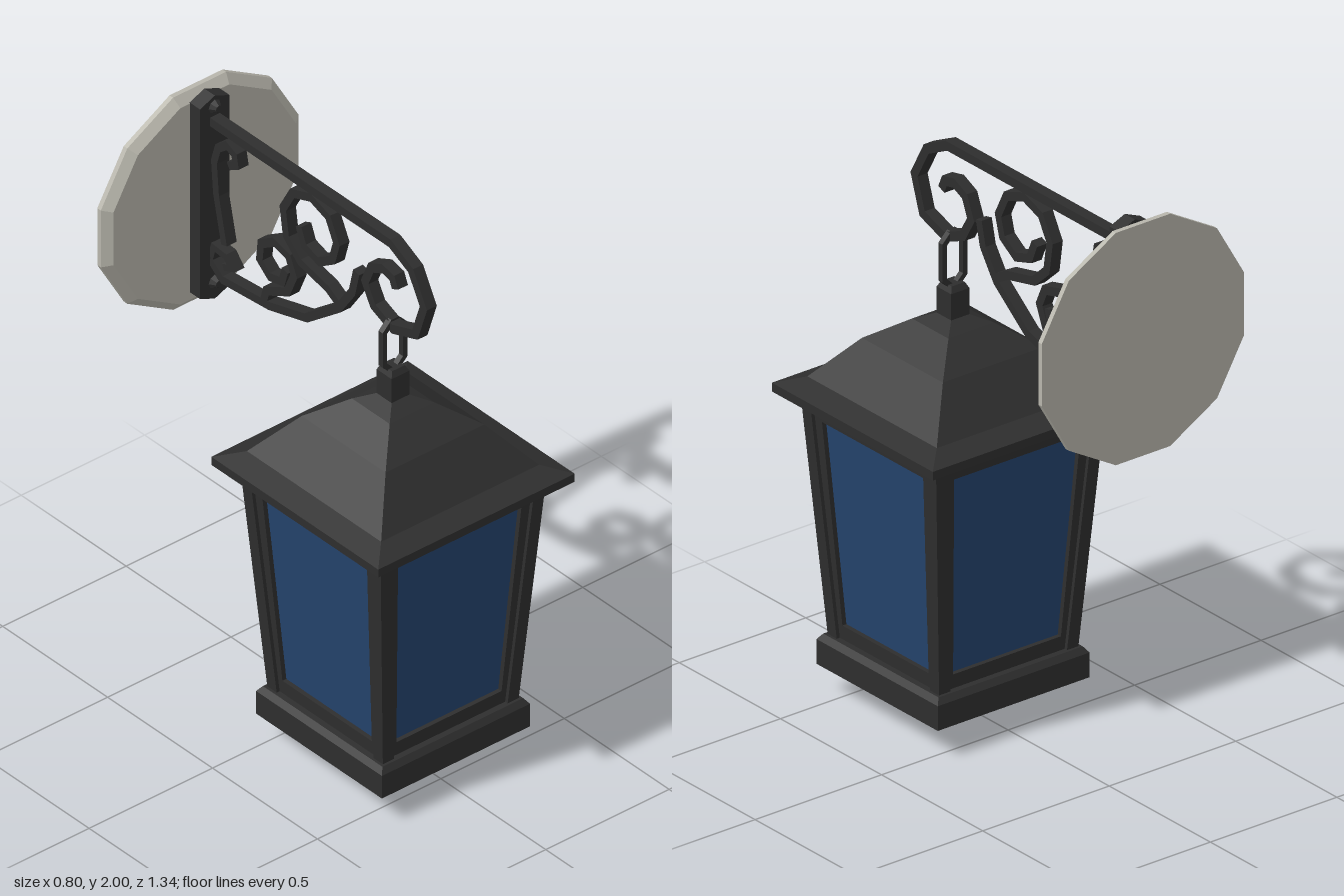
import * as THREE from 'three';

const LZ = 0.272; // lantern axis depth

const flat = (name, color) => {
  const m = new THREE.MeshStandardMaterial({ color, flatShading: true });
  m.name = name;
  return m;
};

// Mitred flat bar following a (z, y) path, lying in the x = 0 plane
function strap(path, width = 0.03, depth = 0.04) {
  const pts = path.map(([z, y]) => new THREE.Vector2(z, y));
  const left = [], right = [];
  const normal = (a, b) => {
    const d = b.clone().sub(a).normalize();
    return new THREE.Vector2(-d.y, d.x);
  };
  pts.forEach((p, i) => {
    const n0 = normal(pts[Math.max(i - 1, 0)], pts[Math.max(i, 1)]);
    const last = pts.length - 1;
    const n1 = normal(pts[Math.min(i, last - 1)], pts[Math.min(i + 1, last)]);
    const n = n0.clone().add(n1).normalize();
    const off = width / 2 / Math.max(0.6, n.dot(n0));
    left.push(p.clone().addScaledVector(n, off));
    right.unshift(p.clone().addScaledVector(n, -off));
  });
  const g = new THREE.ExtrudeGeometry(new THREE.Shape([...left, ...right]), { depth, bevelEnabled: false });
  return g.translate(0, 0, -depth / 2).rotateY(-Math.PI / 2);
}

// Regular-sided solid from [apothem, height] pairs, with flat sides facing the axes
function prism(profile, sides) {
  const k = 1 / Math.cos(Math.PI / sides);
  return new THREE.LatheGeometry(profile.map(([r, y]) => new THREE.Vector2(r * k, y)), sides, Math.PI / sides);
}

const poly = (pts) => pts.map(([x, y]) => new THREE.Vector2(x, y));
const extrude = (shape, depth) => new THREE.ExtrudeGeometry(shape, { depth, bevelEnabled: false });

// Half width of the tapering cage at a height
const half = (y) => 0.275 + 0.0725 * (y - 0.2);

// Move every vertex by a rule
function warp(g, rule) {
  const p = g.attributes.position, v = new THREE.Vector3();
  for (let i = 0; i < p.count; i++) {
    rule(v.fromBufferAttribute(p, i));
    p.setXYZ(i, v.x, v.y, v.z);
  }
  return g;
}

export function createModel() {
  const iron = flat('black iron', 0x2e2e2e);
  const glass = flat('blue glass', 0x24436d);
  const stone = flat('pale stone', 0xb8b6ac);
  const model = new THREE.Group();
  model.name = 'wallLantern';
  const add = (parent, name, geometry, material = iron) => {
    const m = new THREE.Mesh(geometry, material);
    m.name = name;
    parent.add(m);
    return m;
  };

  // Wall plate and mounting bar
  add(model, 'wallPlate', prism([[0, -0.667], [0.4, -0.667], [0.4, -0.65], [0.37, -0.625], [0, -0.625]], 12)
    .rotateX(Math.PI / 2), stone).position.y = 1.602;
  const bar = new THREE.Shape(poly([[-0.06, 1.26], [0, 1.235], [0.06, 1.26], [0.06, 1.975], [0, 2], [-0.06, 1.975]]));
  add(model, 'mountingBar', extrude(bar, 0.05).translate(0, 0, -0.627));
  for (const y of [1.96, 1.3]) {
    add(model, 'boltHead', new THREE.CylinderGeometry(0.012, 0.026, 0.02, 8).rotateX(Math.PI / 2)).position.set(0, y, -0.568);
  }

  // Scrolled bracket
  const bracket = new THREE.Group();
  bracket.name = 'bracket';
  model.add(bracket);
  add(bracket, 'topArm', strap([[-0.58, 1.91], [0.28, 1.91], [0.38, 1.86], [0.44, 1.75], [0.4, 1.63], [0.29, 1.592],
    [0.2, 1.63], [0.16, 1.7], [0.19, 1.77], [0.245, 1.795], [0.29, 1.785], [0.305, 1.75]], 0.032));
  add(bracket, 'lowerBrace', strap([[0.12, 1.715], [0.1, 1.63], [0.035, 1.535], [-0.12, 1.415], [-0.3, 1.365],
    [-0.52, 1.345], [-0.58, 1.39]]));
  add(bracket, 'largeScroll', strap([[0.05, 1.54], [-0.02, 1.58], [-0.15, 1.61], [-0.215, 1.67], [-0.23, 1.77],
    [-0.185, 1.85], [-0.1, 1.88], [-0.015, 1.85], [0.025, 1.77], [0.005, 1.7], [-0.06, 1.658], [-0.13, 1.68], [-0.155, 1.74]]));
  add(bracket, 'smallScroll', strap([[-0.325, 1.36], [-0.31, 1.415], [-0.21, 1.465], [-0.178, 1.54], [-0.205, 1.6],
    [-0.275, 1.618], [-0.335, 1.58], [-0.342, 1.515], [-0.295, 1.477], [-0.235, 1.49], [-0.22, 1.54]]));
  add(bracket, 'wallScroll', strap([[-0.49, 1.79], [-0.455, 1.81], [-0.462, 1.845], [-0.5, 1.862], [-0.54, 1.83],
    [-0.558, 1.77], [-0.548, 1.65], [-0.51, 1.48]], 0.028));
  add(bracket, 'wallCurl', strap([[-0.575, 1.4], [-0.562, 1.445], [-0.505, 1.44], [-0.478, 1.41], [-0.515, 1.395]], 0.024));

  // Lantern
  const lantern = new THREE.Group();
  lantern.name = 'lantern';
  lantern.position.z = LZ;
  model.add(lantern);

  // Hanging link
  const link = (w, y0, y1, c) => poly([[-w, y0 + c], [-w + c, y0], [w - c, y0], [w, y0 + c],
    [w, y1 - c], [w - c, y1], [c - w, y1], [-w, y1 - c]]);
  const ring = new THREE.Shape(link(0.05, 1.42, 1.62, 0.035));
  ring.holes.push(new THREE.Path(link(0.032, 1.438, 1.6, 0.024)));
  add(lantern, 'hangingLink', extrude(ring, 0.02).translate(0, 0, -0.01));

  // Finial, domed roof and base
  add(lantern, 'finial', prism([[0.036, 1.3], [0.036, 1.42], [0.026, 1.44], [0, 1.44]], 4));
  add(lantern, 'roof', prism([[0, 1.0], [0.335, 1.0], [0.398, 1.03], [0.398, 1.06], [0.32, 1.088], [0.2, 1.23],
    [0.09, 1.305], [0.036, 1.33], [0, 1.33]], 4));
  add(lantern, 'base', prism([[0, 0], [0.08, 0], [0.3, 0.1], [0.3, 0.185], [0.285, 0.205], [0, 0.205]], 4));

  // Tapered corner posts
  for (const sx of [-1, 1]) for (const sz of [-1, 1]) {
    add(lantern, 'cornerPost', warp(new THREE.BoxGeometry(0.045, 0.81, 0.045).translate(0, 0.602, 0), (v) => {
      v.x += sx * (half(v.y) - 0.0225);
      v.z += sz * (half(v.y) - 0.0225);
    }));
  }

  // Window frames and panes on the four sides
  const opening = [[-0.213, 0.255], [0.213, 0.255], [0.25, 0.957], [-0.25, 0.957]];
  const frame = new THREE.Shape(poly([[-0.25, 0.2], [0.25, 0.2], [0.305, 1.005], [-0.305, 1.005]]));
  frame.holes.push(new THREE.Path(poly(opening)));
  const pane = new THREE.Shape(poly(opening.map(([x, y]) => [x * 1.02, y])));
  const lean = (inset) => (v) => { v.z += half(v.y) - inset; };
  for (let i = 0; i < 4; i++) {
    const side = new THREE.Group();
    side.name = 'windowSide';
    side.rotation.y = i * Math.PI / 2;
    lantern.add(side);
    add(side, 'windowFrame', warp(extrude(frame, 0.025), lean(0.037)));
    add(side, 'windowPane', warp(extrude(pane, 0.006), lean(0.034)), glass);
  }
  return model;
}
